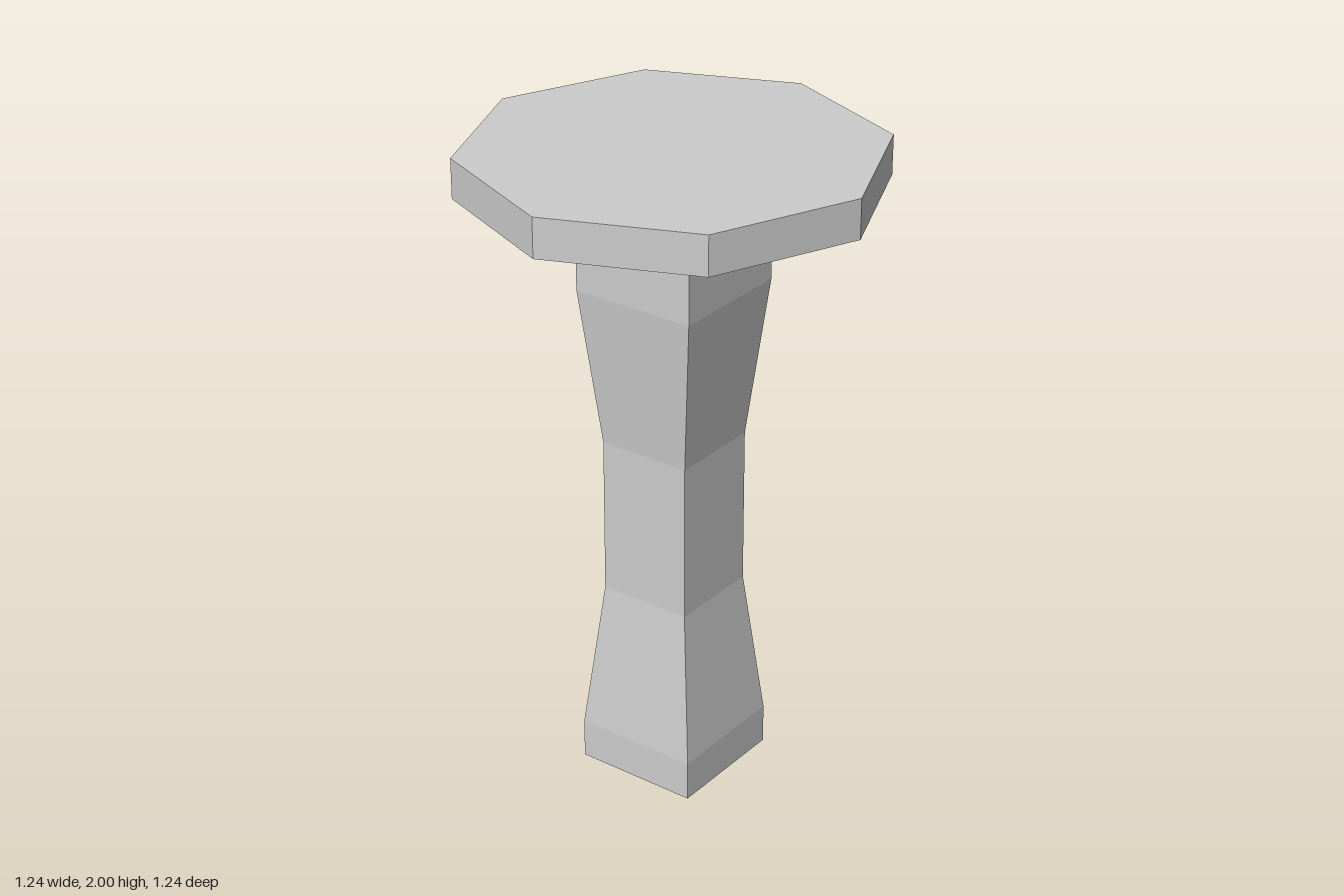
import * as THREE from 'three';

const material = new THREE.MeshStandardMaterial({ color: 0xcccccc, flatShading: true });

export function createModel() {
  const group = new THREE.Group();
  group.name = 'pedestalTable';

  // Square post with a narrowed waist: [half width, height]
  const wide = 0.198, waist = 0.148;
  const profile = [
    [0, 0], [wide, 0], [wide, 0.125], [waist, 0.6],
    [waist, 1.09], [wide, 1.58], [wide, 1.88],
  ].map(([half, y]) => new THREE.Vector2(half * Math.SQRT2, y));
  const post = new THREE.Mesh(new THREE.LatheGeometry(profile, 4, Math.PI / 4), material);
  post.name = 'post';
  group.add(post);

  // Octagonal slab with corners on the axes
  const tabletop = new THREE.Mesh(new THREE.CylinderGeometry(0.621, 0.621, 0.12, 8), material);
  tabletop.name = 'tabletop';
  tabletop.position.y = 1.94;
  group.add(tabletop);

  return group;
}
